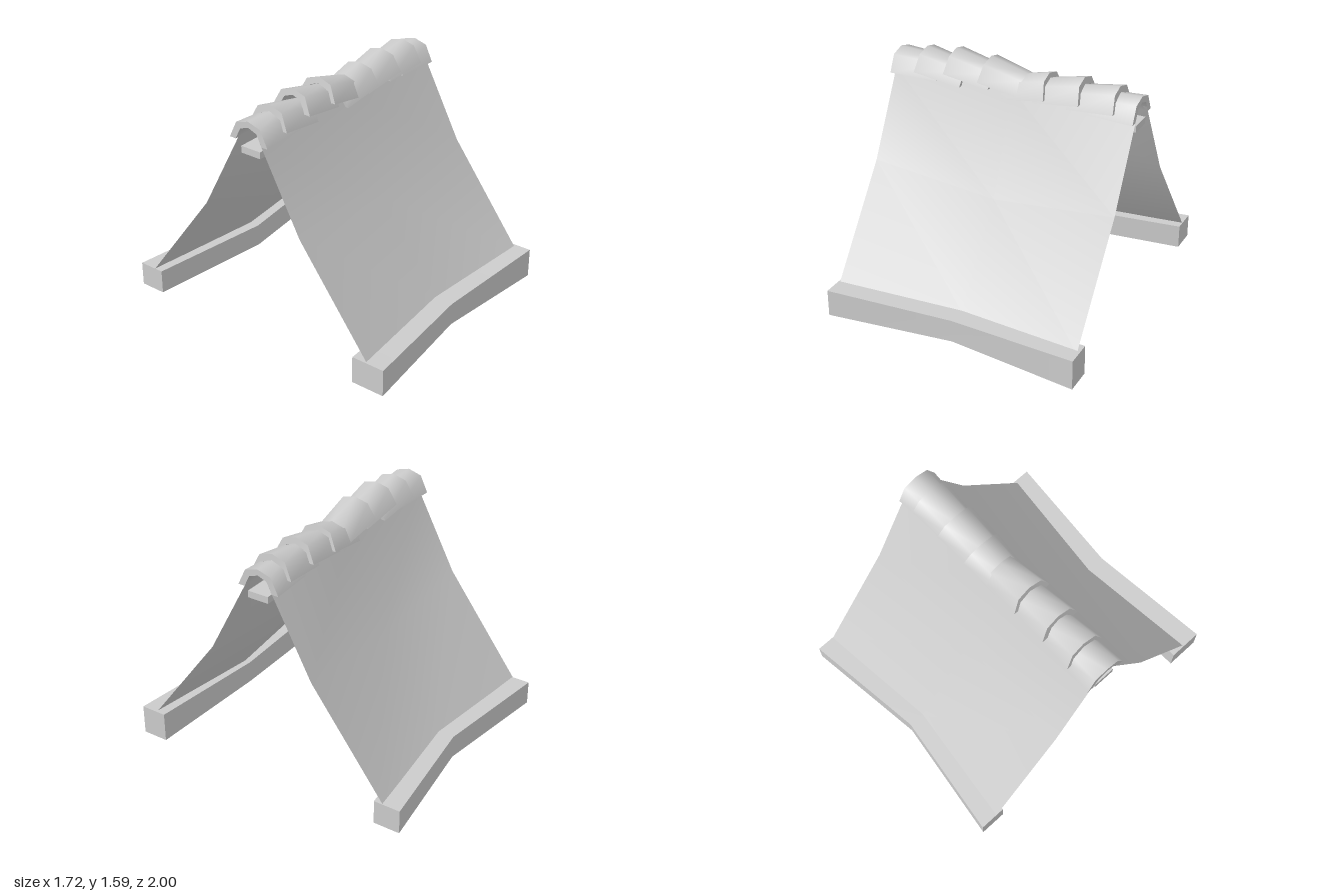
import * as THREE from 'three';
import { toCreasedNormals } from 'three/addons/utils/BufferGeometryUtils.js';

const grey = new THREE.MeshStandardMaterial({ color: 0xcccccc });
const sheet = new THREE.MeshStandardMaterial({ color: 0xcccccc, side: THREE.DoubleSide });

// Closed solid through a row of equal loops, capped at both ends
function loft(rings, crease) {
  const n = rings[0].length, index = [];
  const quad = (a, b, c, d) => index.push(a, b, c, a, c, d);
  for (let r = 0; r < rings.length - 1; r++) {
    for (let i = 0; i < n; i++) {
      const j = (i + 1) % n, a = r * n, b = a + n;
      quad(a + i, b + i, b + j, a + j);
    }
  }
  const e = (rings.length - 1) * n;
  for (let i = 0; i < n / 2 - 1; i++) {
    quad(i, i + 1, n - 2 - i, n - 1 - i);
    quad(e + n - 1 - i, e + n - 2 - i, e + i + 1, e + i);
  }
  const g = new THREE.BufferGeometry();
  g.setAttribute('position', new THREE.Float32BufferAttribute(rings.flat(2), 3));
  g.setIndex(index);
  return toCreasedNormals(g, crease);
}

// Bent beam: stations are [x, outer z, inner z, bottom y, top y]
function beam(stations) {
  return loft(stations.map(([x, za, zb, y0, y1]) => {
    const hi = Math.max(za, zb), lo = Math.min(za, zb);
    return [[x, y0, hi], [x, y1, hi], [x, y1, lo], [x, y0, lo]];
  }), 0.2);
}

// Half-pipe ridge tile section [z, height]: outer arc, then inner arc back
const outer = [[0.145, 0], [0.092, 0.11], [0, 0.137], [-0.092, 0.11], [-0.145, 0]];
const inner = [[-0.1, 0], [-0.062, 0.075], [0, 0.098], [0.062, 0.075], [0.1, 0]];
const section = [...outer, ...inner];

// Tapered tile from its wide end (x0, y0) to its narrow end (x1, y1)
function ridgeTile(x0, y0, x1, y1) {
  const len = Math.hypot(x1 - x0, y1 - y0), s = Math.sign(x1 - x0);
  const ux = -s * (y1 - y0) / len, uy = s * (x1 - x0) / len;
  const ring = (x, y, k) => section.map(([z, h]) => [x + ux * h * k, y + uy * h * k, z * k * s]);
  return loft([ring(x0, y0, 1), ring(x1, y1, 0.87)], 1.0);
}

// Sagging roof sheet: rows are [y at ends, z at ends, y at middle, z at middle]
function roofPanel(rows, side) {
  const pos = [], index = [];
  for (const [ye, ze, ym, zm] of rows) {
    pos.push(-0.85, ye, side * ze, 0, ym, side * zm, 0.835, ye, side * ze);
  }
  for (let r = 0; r < rows.length - 1; r++) {
    for (let c = 0; c < 2; c++) {
      const a = r * 3 + c, b = a + 1, d = a + 3, e = a + 4;
      if (side > 0) index.push(a, d, e, a, e, b);
      else index.push(a, e, d, a, b, e);
    }
  }
  const g = new THREE.BufferGeometry();
  g.setAttribute('position', new THREE.Float32BufferAttribute(pos, 3));
  g.setIndex(index);
  g.computeVertexNormals();
  return g;
}

export function createModel() {
  const model = new THREE.Group();
  const add = (name, geometry, material = grey) => {
    const mesh = new THREE.Mesh(geometry, material);
    mesh.name = name;
    model.add(mesh);
    return mesh;
  };

  // Eave beams, bent inward at the middle
  add('frontEaveBeam', beam([
    [-0.86, 0.997, 0.77, 0.022, 0.205],
    [0, 0.912, 0.74, 0.035, 0.188],
    [0.855, 0.978, 0.8, 0.003, 0.205],
  ]));
  add('backEaveBeam', beam([
    [-0.85, -1.0, -0.82, 0.025, 0.188],
    [0, -0.89, -0.71, 0.035, 0.19],
    [0.838, -1.0, -0.82, 0.025, 0.188],
  ]));

  // Two thin roof slopes
  const rows = [
    [1.41, 0.08, 1.41, 0.08],
    [0.863, 0.37, 0.767, 0.345],
    [0.19, 0.877, 0.185, 0.785],
  ];
  add('frontRoofPanel', roofPanel(rows, 1), sheet);
  add('backRoofPanel', roofPanel(rows, -1), sheet);

  // Ridge beam under the tiles
  add('ridgeBeam', new THREE.BoxGeometry(1.68, 0.045, 0.145)).position.set(-0.007, 1.325, 0.005);

  // Overlapping ridge tiles, laid from both ends toward the middle
  const tiles = [
    [-0.857, 1.39, -0.525, 1.39],
    [-0.68, 1.427, -0.36, 1.375],
    [-0.465, 1.455, -0.155, 1.4],
    [-0.22, 1.445, 0.045, 1.39],
    [0.24, 1.41, -0.06, 1.357],
    [0.475, 1.425, 0.16, 1.377],
    [0.705, 1.413, 0.39, 1.38],
    [0.835, 1.373, 0.525, 1.373],
  ];
  tiles.forEach((t, i) => add('ridgeTile' + (i + 1), ridgeTile(...t)));

  return model;
}
